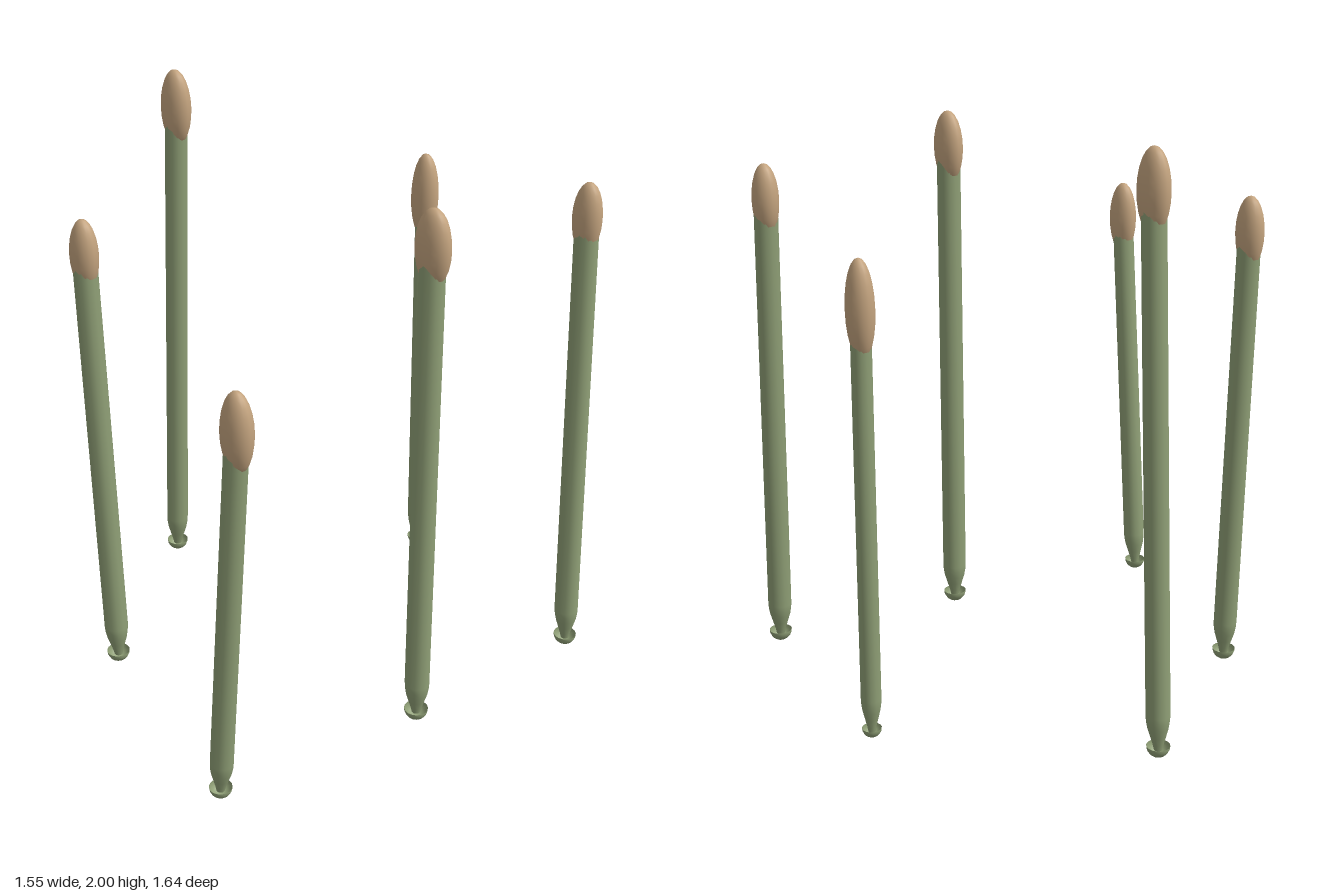
import * as THREE from 'three';

const FOOT_Y = 0.042;
const stemMaterial = new THREE.MeshStandardMaterial({ color: 0x8f9f76, side: THREE.DoubleSide });
const headMaterial = new THREE.MeshStandardMaterial({ color: 0xc4a47f });

// Each stalk: foot x, z, stem radius, head x, head centre height, head radii
const stalks = [
  { x: -0.735, z: -0.08, r: 0.041, hx: -0.653, hy: 1.865, size: [0.061, 0.135, 0.045] },
  { x: -0.352, z: 0.547, r: 0.042, hx: -0.402, hy: 1.596, size: [0.053, 0.124, 0.044] },
  { x: -0.085, z: -0.773, r: 0.034, hx: -0.109, hy: 1.493, size: [0.053, 0.162, 0.045] },
  { x: 0.438, z: 0.775, r: 0.040, hx: 0.548, hy: 1.43, size: [0.057, 0.135, 0.045] },
  { x: 0.625, z: 0.027, r: 0.043, hx: 0.612, hy: 1.781, size: [0.064, 0.129, 0.045] },
  { x: 0.730, z: -0.677, r: 0.042, hx: 0.663, hy: 1.676, size: [0.052, 0.124, 0.045] },
];

function addMesh(group, name, geometry, material) {
  const mesh = new THREE.Mesh(geometry, material);
  mesh.name = name;
  group.add(mesh);
  return mesh;
}

function createStalk({ x, z, r, hx, hy, size }) {
  const stalk = new THREE.Group();
  stalk.name = 'stalk';
  const dx = hx - x;
  const dy = hy - FOOT_Y;
  const length = Math.hypot(dx, dy);

  // Long stem with a tapered lower end, leaning towards its head
  const profile = [
    [0.35 * r, -0.015], [0.45 * r, 0.005], [0.66 * r, 0.035], [0.87 * r, 0.065],
    [0.97 * r, 0.09], [r, 0.11], [0.97 * r, length],
  ].map(([px, py]) => new THREE.Vector2(px, py));
  const stem = addMesh(stalk, 'stem', new THREE.LatheGeometry(profile, 12), stemMaterial);
  stem.position.set(x, FOOT_Y, z);
  stem.rotation.z = -Math.atan2(dx, dy);

  // Open bowl-shaped foot
  const bowl = new THREE.SphereGeometry(0.97 * r, 16, 6, 0, Math.PI * 2, Math.PI / 2, Math.PI / 2);
  addMesh(stalk, 'foot', bowl, stemMaterial).position.set(x, FOOT_Y, z);

  // Flattened oval head
  const oval = new THREE.SphereGeometry(1, 16, 12).scale(...size);
  addMesh(stalk, 'head', oval, headMaterial).position.set(hx, hy, z);
  return stalk;
}

export function createModel() {
  const model = new THREE.Group();
  model.name = 'stalkCluster';
  stalks.forEach((s) => model.add(createStalk(s)));
  return model;
}
